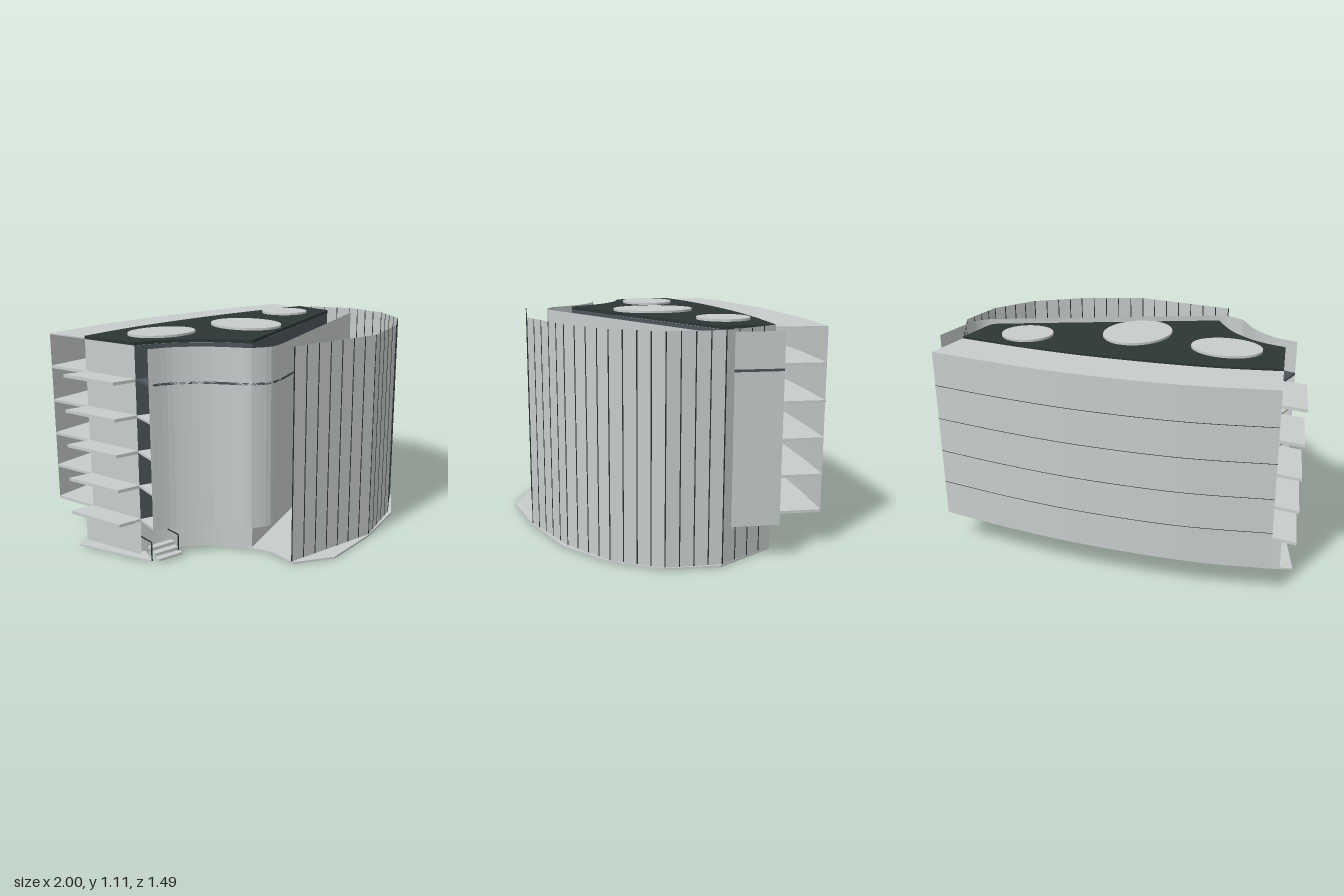
import * as THREE from 'three';

const mat = (name, color) => {
  const m = new THREE.MeshStandardMaterial({ color, side: THREE.DoubleSide });
  m.name = name;
  return m;
};

export function createModel() {
  const light = mat('pale cladding', 0xc8cccc);
  const dark = mat('dark roof', 0x2c3634);
  const slate = mat('slate floor', 0x4c555b);
  const model = new THREE.Group();

  const add = (name, geometry, material, parent = model) => {
    const mesh = new THREE.Mesh(geometry, material);
    mesh.name = name;
    parent.add(mesh);
    return mesh;
  };
  const group = (name) => {
    const g = new THREE.Group();
    g.name = name;
    model.add(g);
    return g;
  };
  // Smooth plan curve through [x, z] points
  const curve = (pts, n = 28) =>
    new THREE.SplineCurve(pts.map((p) => new THREE.Vector2(...p))).getPoints(n).map((p) => [p.x, p.y]);
  // Horizontal plate from a plan outline
  const slab = (pts, top, thick) => {
    const shape = new THREE.Shape(pts.map((p) => new THREE.Vector2(...p)));
    return new THREE.ExtrudeGeometry(shape, { depth: thick, bevelEnabled: false })
      .rotateX(Math.PI / 2).translate(0, top, 0);
  };
  // Thin upright wall following a plan line
  const wall = (pts, y0, y1) => {
    const pos = [];
    for (let i = 0; i < pts.length - 1; i++) {
      const [a, b] = [pts[i], pts[i + 1]];
      pos.push(a[0], y0, a[1], b[0], y0, b[1], b[0], y1, b[1]);
      pos.push(a[0], y0, a[1], b[0], y1, b[1], a[0], y1, a[1]);
    }
    const g = new THREE.BufferGeometry();
    g.setAttribute('position', new THREE.Float32BufferAttribute(pos, 3));
    g.computeVertexNormals();
    return g;
  };

  // Plan lines
  const bodyBack = curve([[-0.87, -0.26], [-0.5, -0.37], [0, -0.455], [0.4, -0.487], [0.81, -0.49]]);
  const galleryBack = curve([[-0.94, -0.51], [-0.5, -0.64], [0, -0.72], [0.42, -0.745], [0.81, -0.745]]);
  const bodyNotch = curve([[-0.78, 0.07], [-0.62, 0.105], [-0.45, 0.21], [-0.3, 0.385]], 16);
  const bodyFront = [...bodyNotch, [0.77, -0.2], [0.8, -0.22], [0.81, -0.25], [0.81, -0.49]];
  const facade = [
    ...curve([[-0.8, 0.22], [-0.67, 0.25], [-0.53, 0.345], [-0.42, 0.48]], 16),
    ...curve([[-0.4, 0.5], [-0.3, 0.53], [-0.2, 0.495]], 8),
    ...curve([[0.82, -0.07], [0.91, -0.125], [0.95, -0.18], [0.96, -0.25]], 10),
    [0.96, -0.49],
  ];
  const bodyPlan = [...bodyFront, ...bodyBack.slice(0, -1).reverse()];
  const facadePlan = [[-0.78, 0.07], ...facade, ...bodyBack.slice().reverse()];
  const galleryPlan = [...galleryBack, ...bodyBack.slice().reverse()];
  const levels = [0.19, 0.372, 0.554, 0.737, 0.92];

  // Ground plate
  add('basePlate', slab([
    [-0.98, -0.22], [-0.8, 0.2], ...bodyNotch.slice(1, -1), [-0.26, 0.5], [-0.26, 0.66], [-0.05, 0.745],
    [0.3, 0.655], [0.64, 0.51], [0.865, 0.31], [0.995, 0.06], [1, -0.2], ...bodyBack.slice().reverse(),
  ], 0.01, 0.01), light);

  // Enclosed body: pale ground storey and ends, slate front above
  add('groundStorey', wall([...bodyPlan, bodyPlan[0]], 0.01, 0.185), light);
  add('groundEndWall', wall([[-0.87, -0.26], [-0.92, -0.25], [-0.8, 0.1]], 0.01, 0.185), light);
  add('bodyFrontWall', wall(bodyFront, 0.185, 1.085), slate);
  add('bodyEndWall', wall([[-0.87, -0.26], [-0.78, 0.07]], 0.185, 1.085), light);
  add('bodyBackWall', wall(bodyBack, 0.185, 1.085), light);

  // Roof and skylights
  add('roof', slab(bodyPlan, 1.102, 0.016), dark);
  const skylights = group('skylights');
  for (const [x, z, rx, rz] of [[-0.52, -0.085, 0.185, 0.145], [0, -0.04, 0.177, 0.216], [0.52, -0.31, 0.137, 0.134]]) {
    const disc = new THREE.CylinderGeometry(1, 1, 0.012, 48).scale(rx, 1, rz).translate(x, 1.108, z);
    add('skylight', disc, light, skylights);
  }

  // Curved outer facade with walkways behind it
  add('curvedFacade', wall(facade, 0.18, 1.09), light);
  const walkways = group('walkways');
  levels.forEach((y, i) =>
    add('walkway', slab(facadePlan, y, 0.012), i === levels.length - 1 ? slate : light, walkways));

  // Rear gallery, open at both ends
  const gallery = group('rearGallery');
  add('galleryWall', wall(galleryBack, 0.18, 1.09), light, gallery);
  add('galleryTop', slab(galleryPlan, 1.092, 0.006), light, gallery);
  for (const y of levels) add('galleryFloor', slab(galleryPlan, y, 0.014), light, gallery);
  for (const y of levels.slice(1)) {
    const seam = galleryBack.map(([x, z]) => [x, z - 0.001]);
    add('gallerySeam', wall(seam, y - 0.009, y - 0.006), dark, gallery);
  }

  // End balconies
  const balconies = group('endBalconies');
  for (const y of levels) {
    add('balcony', slab([[-1, -0.26], [-0.87, -0.26], [-0.78, 0.07], [-0.905, 0.07]], y, 0.016), light, balconies);
  }

  // Tall faceted screen with dark joints
  const screen = group('frontScreen');
  const corners = [[-0.26, 0.65], [0.3, 0.65], [0.64, 0.485], [0.865, 0.3], [0.99, 0.06], [0.99, -0.21], [0.81, -0.49]];
  add('screenPanels', wall(corners, 0.01, 1.102), light, screen);
  for (let i = 0; i < corners.length - 1; i++) {
    const [a, b] = [corners[i], corners[i + 1]];
    const dx = b[0] - a[0], dz = b[1] - a[1];
    const count = Math.round(Math.hypot(dx, dz) / 0.075);
    for (let k = 0; k < count; k++) {
      const joint = add('panelJoint', new THREE.BoxGeometry(0.005, 1.09, 0.003), dark, screen);
      joint.position.set(a[0] + (dx * k) / count, 0.556, a[1] + (dz * k) / count);
      joint.rotation.y = -Math.atan2(dz, dx);
    }
  }

  // Entrance steps with side rails
  const steps = group('entranceSteps');
  for (let i = 0; i < 3; i++) {
    add('step', new THREE.BoxGeometry(0.14, 0.012, 0.035), light, steps).position.set(-0.71, 0.02 + i * 0.018, 0.22 - i * 0.035);
  }
  for (const x of [-0.8, -0.64]) {
    add('railPost', new THREE.BoxGeometry(0.005, 0.1, 0.005), dark, steps).position.set(x, 0.06, 0.2);
    add('handrail', new THREE.BoxGeometry(0.005, 0.005, 0.1), dark, steps).position.set(x, 0.11, 0.155);
  }

  return model;
}
